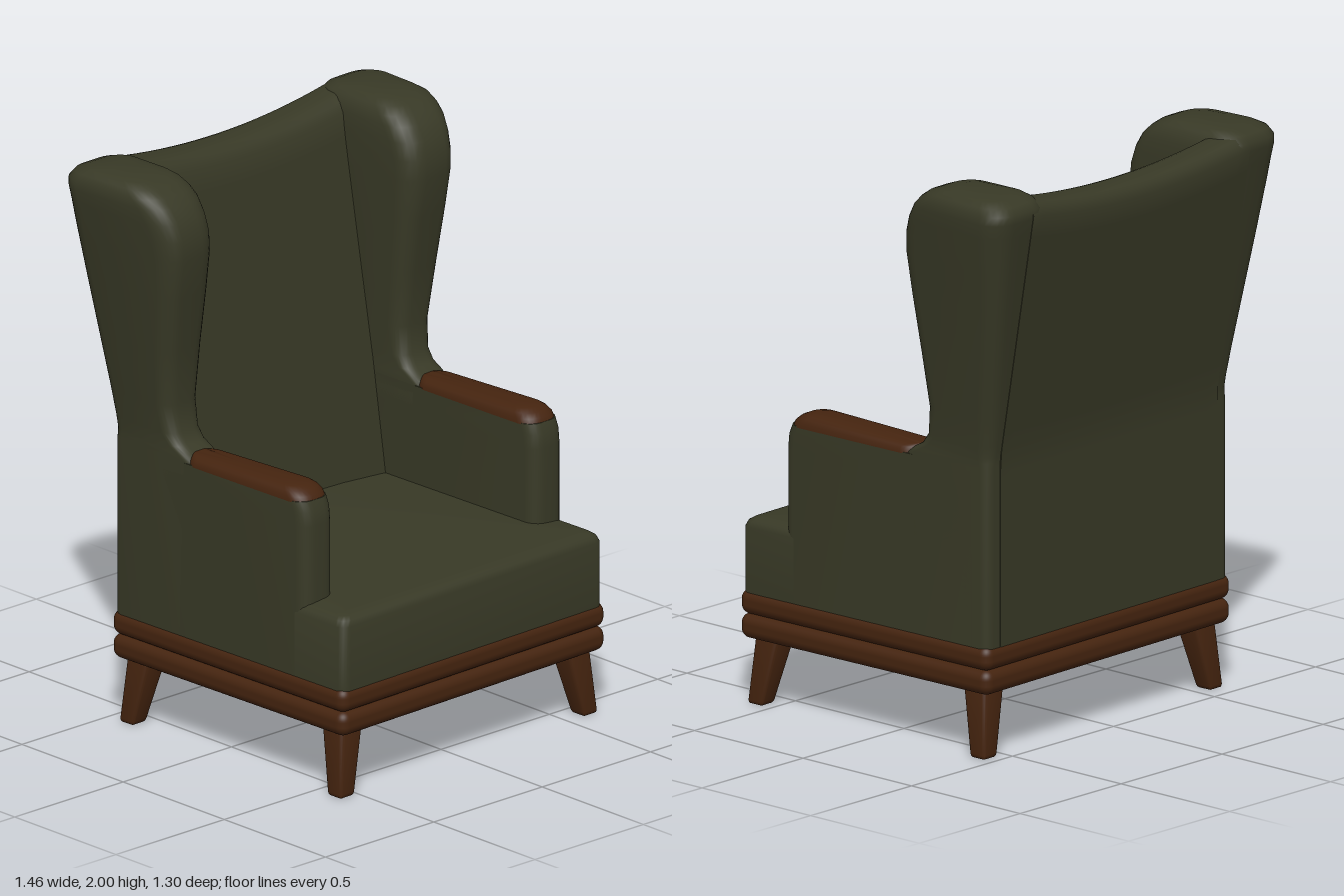
import * as THREE from 'three';
import { toCreasedNormals } from 'three/addons/utils/BufferGeometryUtils.js';
import { RoundedBoxGeometry } from 'three/addons/geometries/RoundedBoxGeometry.js';

const fabric = new THREE.MeshStandardMaterial({ color: 0x383926 });
fabric.name = 'olive fabric';
const wood = new THREE.MeshStandardMaterial({ color: 0x45240f });
wood.name = 'brown wood';

// Rounded rectangle in the xz plane, counted from +x towards +z
function ring([y, zBack, zFront, x0, x1, r]) {
  const rad = Math.min(r, (x1 - x0) / 2 - 0.001, (zFront - zBack) / 2 - 0.001);
  const corners = [
    [x1 - rad, zFront - rad], [x0 + rad, zFront - rad],
    [x0 + rad, zBack + rad], [x1 - rad, zBack + rad],
  ];
  const points = [];
  corners.forEach(([cx, cz], c) => {
    for (let i = 0; i <= 6; i++) {
      const a = (c + i / 6) * Math.PI / 2;
      points.push([cx + rad * Math.cos(a), y, cz + rad * Math.sin(a)]);
    }
  });
  return points;
}

// Skin over stacked sections, closed at both ends; side -1 mirrors it in x
function loft(rows, side = 1, warp = null) {
  const rings = rows.map(ring);
  const n = rings[0].length;
  const pos = [], index = [];
  rings.forEach((r) => r.forEach((p) => pos.push(...p)));
  const tri = (a, b, c) => (side > 0 ? index.push(a, b, c) : index.push(a, c, b));
  for (let k = 0; k < rings.length - 1; k++) {
    for (let i = 0; i < n; i++) {
      const a = k * n + i, b = k * n + (i + 1) % n;
      tri(a, a + n, b);
      tri(b, a + n, b + n);
    }
  }
  const last = (rings.length - 1) * n, base = rings.length * n;
  [rows[0], rows[rows.length - 1]].forEach(([y, z0, z1, x0, x1]) => pos.push((x0 + x1) / 2, y, (z0 + z1) / 2));
  for (let i = 0; i < n; i++) {
    const j = (i + 1) % n;
    tri(base, i, j);
    tri(base + 1, last + j, last + i);
  }
  const geo = new THREE.BufferGeometry();
  geo.setAttribute('position', new THREE.Float32BufferAttribute(pos, 3));
  geo.setIndex(index);
  if (warp) reshape(geo, warp);
  geo.scale(side, 1, 1);
  return toCreasedNormals(geo, 0.9);
}

// Move every vertex by a rule
function reshape(geo, rule) {
  const p = geo.attributes.position, v = new THREE.Vector3();
  for (let i = 0; i < p.count; i++) {
    v.fromBufferAttribute(p, i);
    rule(v);
    p.setXYZ(i, v.x, v.y, v.z);
  }
  return geo;
}

const rearZ = (y) => -0.475 - 0.15 * Math.max(0, y - 1.05) / 0.88;

export function createModel() {
  const chair = new THREE.Group();
  chair.name = 'wingArmchair';
  const body = new THREE.Group();
  body.name = 'chairBody';
  body.position.x = 0.01;
  body.rotation.y = 0.024;
  chair.add(body);
  const add = (name, geo, mat) => {
    const mesh = new THREE.Mesh(geo, mat);
    mesh.name = name;
    body.add(mesh);
    return mesh;
  };

  // Two rounded wooden bands of the plinth
  [['lowerBand', 0.272], ['upperBand', 0.357]].forEach(([name, y]) => {
    add(name, new RoundedBoxGeometry(1.25, 0.088, 1.125, 4, 0.035), wood).position.set(0, y, 0.08);
  });

  // Splayed, tapered legs
  for (const sx of [-1, 1]) {
    for (const sz of [-1, 1]) {
      const leg = new RoundedBoxGeometry(0.1, 0.26, 0.1, 2, 0.015);
      reshape(leg, (v) => {
        const t = (v.y + 0.13) / 0.26;
        const width = 0.66 + 0.38 * t;
        v.x = v.x * width + sx * (0.575 - 0.042 * t);
        v.z = v.z * width + sz * (0.502 - 0.036 * t) + 0.08;
        v.y += 0.13;
      });
      add((sz > 0 ? 'front' : 'back') + (sx > 0 ? 'LeftLeg' : 'RightLeg'), toCreasedNormals(leg, 0.6), wood);
    }
  }

  // Seat with a softly domed top
  add('seat', loft([
    [0.39, -0.35, 0.635, -0.615, 0.615, 0.035],
    [0.62, -0.35, 0.635, -0.615, 0.615, 0.035],
    [0.64, -0.35, 0.627, -0.607, 0.607, 0.035],
    [0.651, -0.35, 0.61, -0.592, 0.592, 0.03],
    [0.656, -0.35, 0.58, -0.57, 0.57, 0.03],
    [0.668, -0.35, 0.42, -0.44, 0.44, 0.03],
    [0.68, -0.35, 0.15, -0.27, 0.27, 0.03],
    [0.685, -0.35, -0.1, -0.1, 0.1, 0.03],
  ]), fabric);

  // Backrest: leaning panel with a sagging, rounded top edge
  const back = reshape(new THREE.BoxGeometry(1.1, 1, 1, 20, 20, 10), (v) => {
    const w = v.z;
    const top = 1.93 + 0.165 * v.x * v.x - 0.05 * Math.pow(Math.abs(2 * w), 4);
    v.y = 0.39 + (top - 0.39) * (v.y + 0.5);
    const frontZ = -0.27 - 0.19 * (v.y - 0.68) / 1.25;
    const backZ = rearZ(v.y) - 0.002;
    v.z = backZ + (frontZ - backZ) * (w + 0.5);
  });
  add('backrest', toCreasedNormals(back, 1.0), fabric);

  for (const side of [1, -1]) {
    const label = side > 0 ? 'left' : 'right';

    // Upholstered arm
    add(label + 'Arm', loft([
      [0.39, -0.45, 0.45, 0.468, 0.615, 0.05],
      [0.93, -0.45, 0.45, 0.468, 0.615, 0.05],
      [0.98, -0.45, 0.445, 0.468, 0.615, 0.05],
      [1.016, -0.45, 0.43, 0.468, 0.615, 0.05],
    ], side), fabric);

    // Wooden arm cap, sloping slightly backwards
    add(label + 'ArmCap', loft([
      [1.012, -0.14, 0.43, 0.466, 0.617, 0.06],
      [1.03, -0.14, 0.422, 0.468, 0.615, 0.06],
      [1.045, -0.14, 0.405, 0.475, 0.608, 0.06],
      [1.056, -0.14, 0.38, 0.488, 0.595, 0.05],
      [1.061, -0.14, 0.35, 0.508, 0.575, 0.03],
    ], side, (v) => {
      if (v.y > 1.02) v.y -= Math.max(0, 0.36 - v.z) * 0.035 * (v.y - 1.012) / 0.05;
    }), wood);

    // Wing: flares outward and rolls over at the top
    const wing = [
      [0.39, -0.12, 0.468, 0.615, 0.035],
      [1.02, -0.1, 0.468, 0.615, 0.035],
      [1.04, -0.125, 0.468, 0.615, 0.04],
      [1.06, -0.16, 0.468, 0.616, 0.045],
      [1.1, -0.188, 0.467, 0.62, 0.05],
      [1.2, -0.2, 0.465, 0.632, 0.055],
      [1.4, -0.178, 0.46, 0.658, 0.06],
      [1.6, -0.15, 0.456, 0.684, 0.065],
      [1.74, -0.13, 0.453, 0.705, 0.075],
      [1.81, -0.132, 0.452, 0.715, 0.08],
      [1.87, -0.15, 0.452, 0.723, 0.085],
      [1.92, -0.18, 0.454, 0.729, 0.085],
      [1.95, -0.21, 0.46, 0.727, 0.085],
      [1.975, -0.245, 0.474, 0.715, 0.08, 0.02],
      [1.99, -0.285, 0.492, 0.69, 0.07, 0.06],
      [2.0, -0.34, 0.53, 0.64, 0.05, 0.14],
    ].map(([y, zf, xi, xo, r, inset = 0]) => [y, rearZ(Math.min(y, 1.93)) + inset, zf, xi, xo, r]);
    add(label + 'Wing', loft(wing, side, (v) => {
      // Outer face narrows towards the front of the flare
      const t = THREE.MathUtils.clamp((v.z + 0.45) / 0.32, 0, 1) * THREE.MathUtils.clamp((v.y - 1.1) / 0.7, 0, 1);
      if (v.x > 0.58) v.x -= (v.x - 0.58) * 0.25 * t;
    }), fabric);
  }
  return chair;
}
